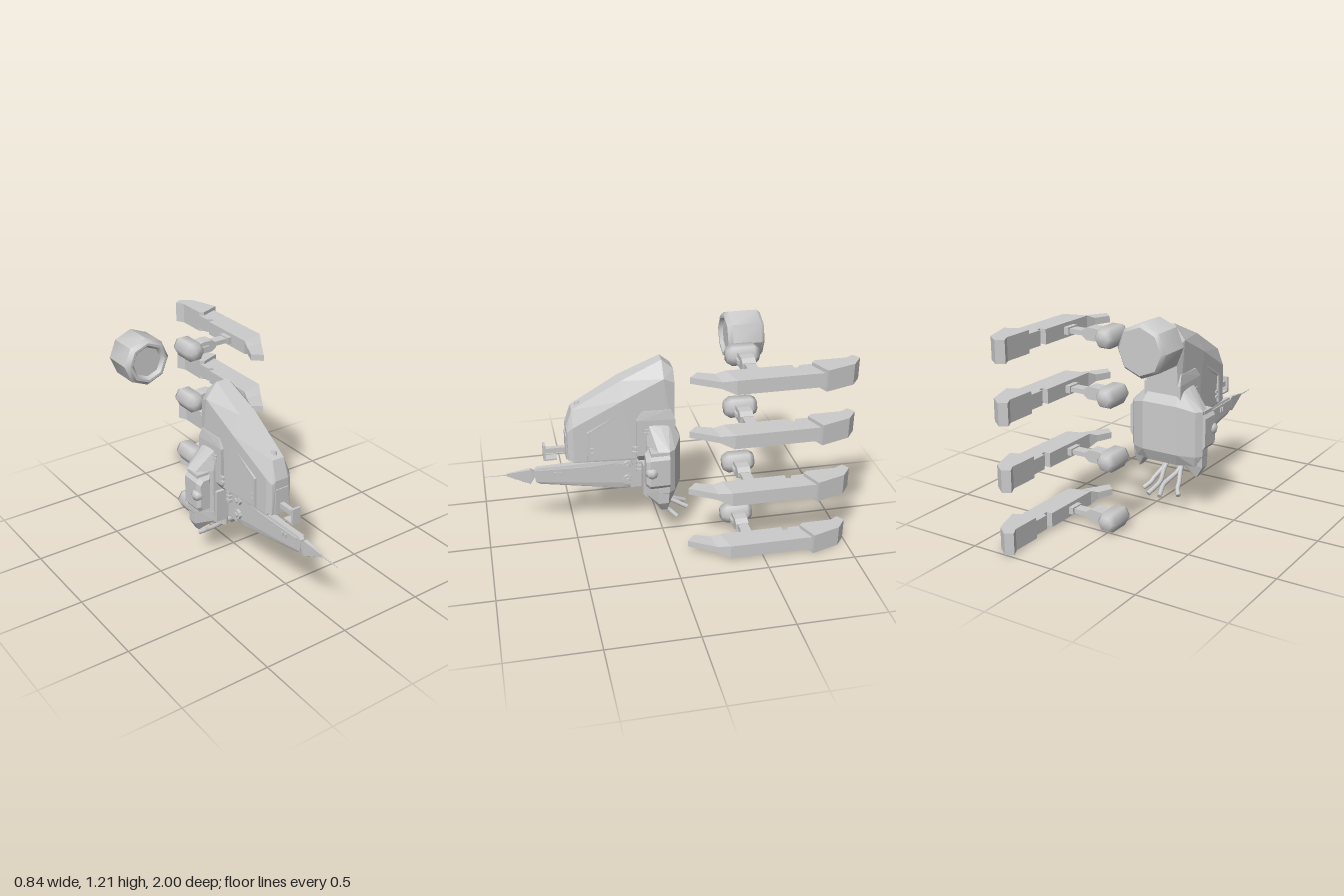
import * as THREE from 'three';
import { ConvexGeometry } from 'three/addons/geometries/ConvexGeometry.js';
import { toCreasedNormals } from 'three/addons/utils/BufferGeometryUtils.js';

const flat = new THREE.MeshStandardMaterial({ color: 0xcccccc, flatShading: true });
const smooth = new THREE.MeshStandardMaterial({ color: 0xcccccc });

function add(parent, name, geometry, x = 0, y = 0, z = 0, material = flat) {
  const mesh = new THREE.Mesh(geometry, material);
  mesh.name = name;
  mesh.position.set(x, y, z);
  parent.add(mesh);
  return mesh;
}
const box = (w, h, d) => new THREE.BoxGeometry(w, h, d);
const hull = pts => new ConvexGeometry(pts.map(p => new THREE.Vector3(...p)));
// convex solid mirrored across x = 0, from [halfWidth, y, z]
const symHull = pts => hull(pts.flatMap(([x, y, z]) => [[x, y, z], [-x, y, z]]));
// flat plan outline [x, z], extruded to +-h in y
function plan(pts, h) {
  const shape = new THREE.Shape(pts.map(([x, z]) => new THREE.Vector2(x, -z)));
  const g = new THREE.ExtrudeGeometry(shape, { depth: 2 * h, bevelEnabled: false });
  return g.rotateX(-Math.PI / 2).translate(0, -h, 0);
}
// side outline [z, y], extruded to +-w in x
function side(pts, w) {
  const shape = new THREE.Shape(pts.map(([z, y]) => new THREE.Vector2(-z, y)));
  const g = new THREE.ExtrudeGeometry(shape, { depth: 2 * w, bevelEnabled: false });
  return g.rotateY(Math.PI / 2).translate(-w, 0, 0);
}
// lathe along z from [radius, z], listed back to front
const latheZ = (pts, n, turn = 0) =>
  new THREE.LatheGeometry(pts.map(([r, z]) => new THREE.Vector2(r, z)), n, turn).rotateX(Math.PI / 2);

function buildArm() {
  const arm = new THREE.Group();
  arm.name = 'arm';
  add(arm, 'rearBlock', plan([[.254, -.974], [.28, -.926], [.28, -.757], [.30, -.735],
    [.418, -.783], [.365, -.947], [.296, -1]], .06));
  add(arm, 'beam', plan([[.28, -.77], [.28, -.67], [.305, -.66], [.305, -.635], [.27, -.635],
    [.27, -.275], [.402, -.307], [.402, -.79]], .04));
  // pointed front that thins in two steps
  const steps = [[.27, -.275, .402, -.307, .04], [.255, -.225, .36, -.237, .019], [.217, -.138, .27, -.09, .018]];
  for (let i = 0; i < 2; i++) {
    const pts = [];
    for (const [x0, z0, x1, z1, h] of [steps[i], steps[i + 1]])
      for (const s of [-h, h]) pts.push([x0, s, z0], [x1, s, z1]);
    add(arm, 'armTip', hull(pts));
  }
  // strut with a stepped clamp
  add(arm, 'strut', box(.22, .026, .06), .175, 0, -.442);
  add(arm, 'strutFoot', box(.04, .04, .08), .262, 0, -.442);
  const clamp = [];
  for (const s of [-1, 1]) for (const z of [-.475, -.4])
    clamp.push([.04, s * .028, z], [.08, s * .034, z], [.13, s * .034, z], [.158, s * .016, z]);
  add(arm, 'clamp', hull(clamp));
  add(arm, 'clampPin', box(.045, .02, .016), .085, 0, -.394);
  // six-sided capsule
  add(arm, 'capsule', latheZ([[0, -.532], [.042, -.53], [.061, -.50], [.061, -.38], [.042, -.35], [0, -.345]],
    6, Math.PI / 2), 0, 0, 0, smooth);
  return arm;
}

function buildUpperHull(body) {
  // long sloping hood: ridge, shoulders and sides
  add(body, 'hood', symHull([
    [.045, 1.016, -.063], [.09, .95, -.063], [.105, .55, -.063],
    [.036, 1.07, 0], [.105, .985, 0], [.105, .51, 0],
    [.048, .968, .23], [.097, .87, .23], [.1, .51, .16],
    [.036, .815, .5], [.074, .72, .5], [.074, .51, .5],
    [.04, .71, .535], [.058, .69, .53], [.058, .51, .53],
  ]));
  add(body, 'shoulderBlock', symHull([
    [.108, .80, -.04], [.115, .74, -.063], [.115, .53, -.063], [.108, .80, .12],
    [.117, .75, .155], [.117, .53, .155], [.085, .485, -.04], [.085, .485, .14],
  ]));
  add(body, 'chinPlate', symHull([[.07, .52, .52], [.07, .5, .5], [.09, .52, .13], [.085, .49, .13]]));
  // side panels and vents
  for (const s of [-1, 1]) {
    const outline = [[.43, .52], [.425, .69], [.27, .78], [.27, .765], [.41, .68], [.412, .52]];
    add(body, 'sidePanelRim', side(outline, .006), s * .088);
    for (const y of [.555, .585]) {
      add(body, 'sideVent', box(.012, .014, .025), s * .086, y, .405);
      add(body, 'rearVent', box(.014, .014, .03), s * .116, y, .165);
    }
    for (const y of [.67, .69]) add(body, 'shoulderVent', box(.012, .012, .03), s * .118, y, .1);
  }
  add(body, 'beacon', new THREE.CylinderGeometry(.012, .02, .035, 8), 0, .83, .465);
  // nose panel and hooked bracket
  add(body, 'nosePanel', box(.08, .15, .014), 0, .585, .533);
  add(body, 'bracketArm', box(.026, .03, .13), 0, .56, .59);
  add(body, 'bracketPlate', box(.05, .095, .014), 0, .553, .658);
  add(body, 'bracketLip', box(.05, .01, .07), 0, .511, .625);
}

function buildShield(body) {
  add(body, 'shield', symHull([
    [.075, .74, -.03], [.1, .73, .09], [.13, .70, .02],
    [.11, .63, -.092], [.2, .60, -.045], [.228, .60, -.01], [.225, .59, .05], [.13, .60, .1],
    [.11, .35, -.092], [.2, .34, -.045], [.228, .34, -.01], [.225, .34, .05], [.13, .34, .1],
    [.09, .28, -.06], [.19, .28, -.03], [.2, .28, .05], [.12, .28, .1],
  ]));
  for (const s of [-1, 1]) {
    // downward fin
    add(body, 'fin', hull([
      [s * .225, .36, -.01], [s * .225, .36, .055], [s * .12, .34, -.075], [s * .13, .34, .105],
      [s * .223, .27, -.005], [s * .223, .27, .05], [s * .128, .285, -.05], [s * .128, .285, .105],
      [s * .188, .207, -.005], [s * .185, .207, .03],
    ]));
    // side pod with its lamp
    const pod = [];
    for (const [z, e] of [[-.01, 0], [.1, 0], [.122, .015]])
      pod.push([s * (.155 + e), .585 - e, z], [s * (.225 - e), .585 - e, z], [s * (.244 - e), .56 - e, z],
        [s * (.244 - e), .40 + e, z], [s * (.225 - e), .375 + e, z], [s * (.155 + e), .375 + e, z]);
    add(body, 'sidePod', hull(pod));
    add(body, 'podCap', box(.07, .02, .09), s * .195, .59, .05);
    add(body, 'podLamp', new THREE.SphereGeometry(.037, 8, 6), s * .226, .48, .09, smooth);
    // front panels beside the neck
    add(body, 'neckPanel', box(.06, .19, .03), s * .092, .375, .105);
    for (let i = 0; i < 3; i++) add(body, 'neckBlock', box(.024, .018, .03), s * .046, .40 + i * .026, .13);
  }
}

function buildBeak(body) {
  add(body, 'neck', box(.06, .2, .1), 0, .38, .13);
  for (const y of [.34, .43]) {
    const joint = new THREE.CylinderGeometry(.03, .03, .09, 8).rotateZ(Math.PI / 2);
    add(body, 'joint', joint, 0, y, .195);
    add(body, 'jointPin', new THREE.CylinderGeometry(.014, .014, .108, 6).rotateZ(Math.PI / 2), 0, y, .195);
  }
  // tapering blade, its spear head and needle
  add(body, 'beak', symHull([
    [.026, .465, .17], [.03, .44, .17], [.03, .31, .18], [.022, .28, .18], [.022, .28, .24],
    [.012, .455, .705], [.014, .44, .72], [.014, .37, .715], [.009, .352, .69],
  ]));
  for (const s of [-1, 1]) {
    add(body, 'beakRib', side([[.22, .45], [.22, .435], [.4, .425], [.7, .437], [.7, .447], [.4, .44]], .003), s * .024);
    for (let i = 0; i < 2; i++) add(body, 'beakVent', box(.012, .025, .014), s * .02, .41, .58 + i * .025);
  }
  add(body, 'spearHead', symHull([
    [.012, .45, .74], [.012, .42, .705], [.012, .36, .745], [.009, .365, .76], [.004, .434, .875], [.004, .42, .875],
  ]));
  add(body, 'needle', new THREE.CylinderGeometry(.002, .005, .14, 6).rotateX(Math.PI / 2), 0, .427, .93);
}

function buildTendrils(body) {
  // each stem splits into an outer and an inner claw
  for (const s of [-1, 1]) {
    const at = (x, y, z) => new THREE.Vector3(s * x, y, z);
    add(body, 'stem', new THREE.CylinderGeometry(.018, .021, .07, 8), s * .046, .262, .08);
    const paths = [
      [at(.046, .24, .08), at(.058, .20, .04), at(.082, .155, -.015), at(.087, .135, -.04), at(.113, .108, -.075)],
      [at(.046, .24, .08), at(.044, .20, .03), at(.02, .165, -.04), at(.016, .15, -.08), at(.036, .115, -.15)],
    ];
    for (const pts of paths) {
      const path = new THREE.CatmullRomCurve3(pts, false, 'catmullrom', .25);
      add(body, 'tendril', new THREE.TubeGeometry(path, 14, .0135, 7), 0, 0, 0, smooth);
      const end = pts[4].clone().sub(pts[3]).normalize();
      const cap = add(body, 'tendrilEnd', new THREE.CylinderGeometry(.0135, .0135, .006, 7), pts[4].x, pts[4].y, pts[4].z);
      cap.quaternion.setFromUnitVectors(new THREE.Vector3(0, 1, 0), end);
    }
  }
}

export function createModel() {
  const model = new THREE.Group();
  model.name = 'model';

  const body = new THREE.Group();
  body.name = 'body';
  body.position.x = -.073;
  model.add(body);
  buildUpperHull(body);
  buildShield(body);
  buildBeak(body);
  buildTendrils(body);

  // stack of four detached arms
  for (const y of [1.08, .762, .408, .063]) {
    const arm = buildArm();
    arm.position.y = y;
    model.add(arm);
  }

  // floating eight-sided drum with a recessed front
  const drum = latheZ([[0, -.617], [.122, -.617], [.14, -.597], [.14, -.432], [.118, -.408],
    [.104, -.408], [.087, -.428], [0, -.428]], 8);
  add(model, 'drum', toCreasedNormals(drum, .7), -.284, 1.075, 0, smooth);
  return model;
}
